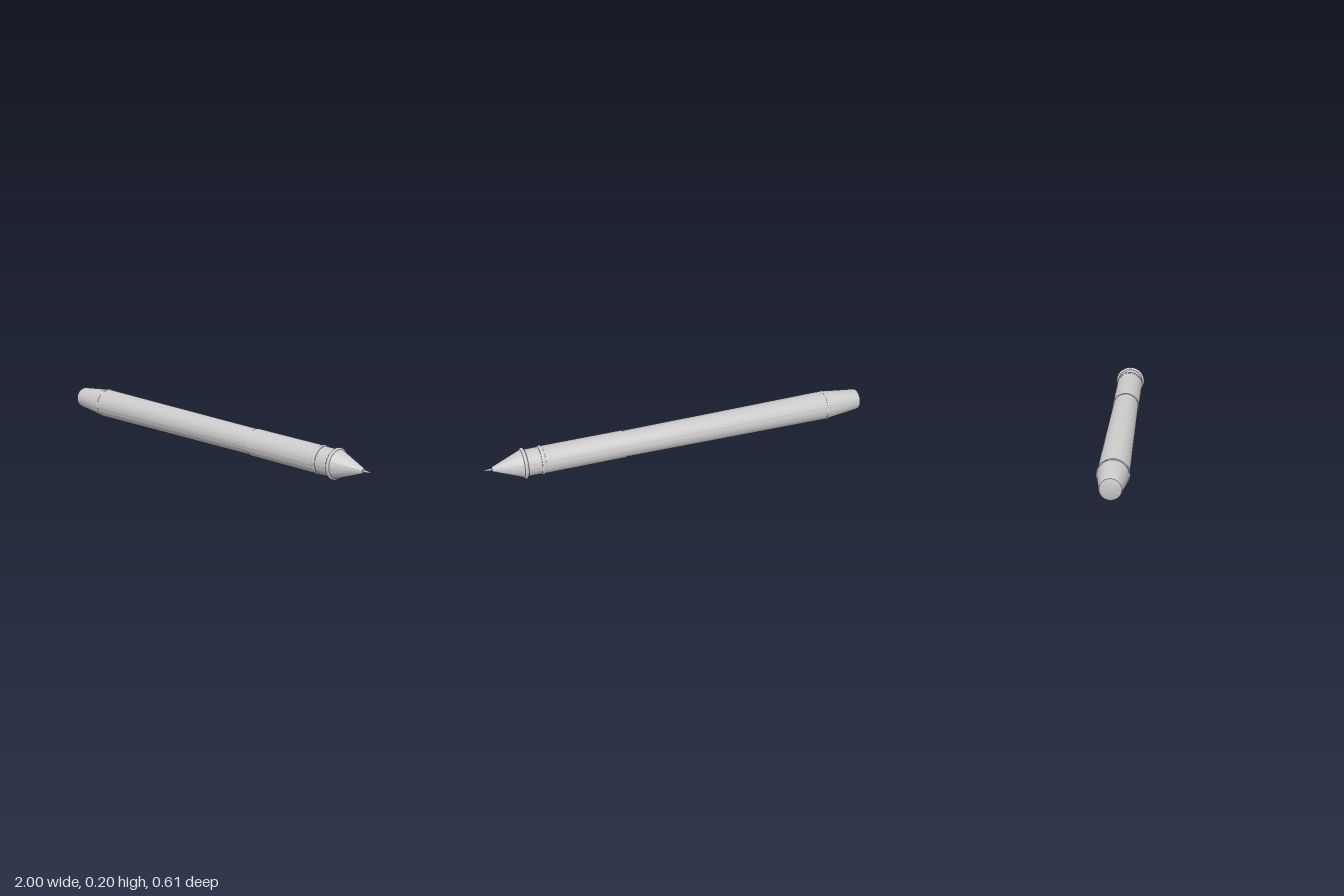
import * as THREE from 'three';
import { toCreasedNormals } from 'three/addons/utils/BufferGeometryUtils.js';

const material = new THREE.MeshStandardMaterial({ color: 0xcccccc, side: THREE.DoubleSide });

// Revolve a [radius, position along the pen] profile, listed from tail to tip
function turned(name, profile, sides = 64) {
  const points = profile.map(([r, s]) => new THREE.Vector2(r, s));
  const geometry = toCreasedNormals(new THREE.LatheGeometry(points, sides), 0.5);
  const mesh = new THREE.Mesh(geometry, material);
  mesh.name = name;
  return mesh;
}

// Raised bead with a half-round section
function bead(name, inner, outer, start, end) {
  const profile = [];
  for (let i = 0; i <= 8; i++) {
    const a = (i / 8) * Math.PI;
    profile.push([
      inner + (outer - inner) * Math.sin(a),
      (start + end) / 2 - ((end - start) / 2) * Math.cos(a),
    ]);
  }
  return turned(name, profile);
}

export function createModel() {
  const pen = new THREE.Group();
  pen.name = 'pen';

  pen.add(
    // Tapered tail plug with a softened end
    turned('tailCap', [
      [0, -1.02], [0.046, -1.02], [0.051, -1.018], [0.054, -1.013],
      [0.0555, -1.006], [0.0755, -0.83], [0.0755, -0.815],
    ]),
    bead('tailRing', 0.0755, 0.0795, -0.829, -0.813),

    // Long barrel narrowing slightly towards the joint
    turned('barrel', [[0.0755, -0.82], [0.0765, -0.81], [0.068, 0.311]]),

    // Front sleeve with a small step at the joint
    turned('gripSleeve', [[0.066, 0.311], [0.071, 0.311], [0.071, 0.74]]),
    bead('gripBand', 0.07, 0.0745, 0.736, 0.757),
    turned('neck', [[0.069, 0.75], [0.069, 0.832]]),
    bead('collar', 0.068, 0.08, 0.826, 0.846),

    // Conical nose and fine writing point
    turned('noseCone', [
      [0.066, 0.838], [0.071, 0.845], [0.014, 0.992], [0.011, 0.997], [0, 0.999],
    ]),
    turned('writingPoint', [
      [0.0065, 0.99], [0.0055, 1.012], [0.004, 1.032], [0.002, 1.037], [0, 1.038],
    ], 24),
  );

  // Lay the pen down along its slanted axis
  const axis = new THREE.Vector3(1.605, 0.04, 0.437).normalize();
  pen.quaternion.setFromUnitVectors(new THREE.Vector3(0, 1, 0), axis);
  pen.position.set(0, 0.1, 0.013);

  const model = new THREE.Group();
  model.add(pen);
  return model;
}
